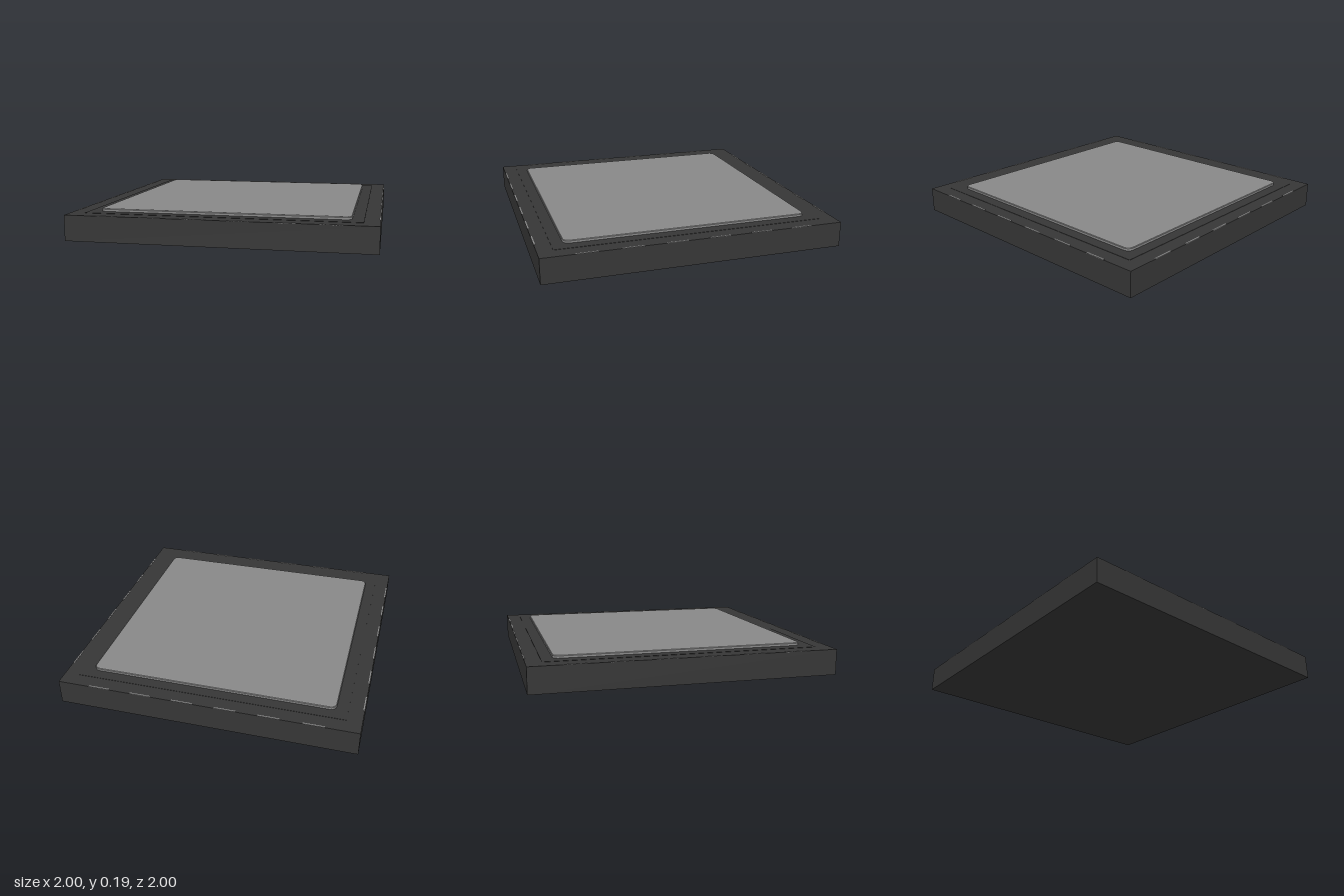
import * as THREE from 'three';

const BASE_H = 0.17;

function roundedSquare(half, r) {
  const s = new THREE.Shape();
  const c = half - r;
  s.absarc(c, c, r, 0, Math.PI / 2);
  s.absarc(-c, c, r, Math.PI / 2, Math.PI);
  s.absarc(-c, -c, r, Math.PI, Math.PI * 1.5);
  s.absarc(c, -c, r, Math.PI * 1.5, Math.PI * 2);
  s.closePath();
  return s;
}

export function createModel() {
  const model = new THREE.Group();
  const dark = new THREE.MeshStandardMaterial({ color: 0x363636 });
  const panelGrey = new THREE.MeshStandardMaterial({ color: 0x888888 });
  const markGrey = new THREE.MeshStandardMaterial({ color: 0x888888 });

  const add = (name, geometry, material, x, y, z, parent = model) => {
    const mesh = new THREE.Mesh(geometry, material);
    mesh.name = name;
    mesh.position.set(x, y, z);
    parent.add(mesh);
    return mesh;
  };

  // Square slab and the barely raised field on its top
  add('base', new THREE.BoxGeometry(2, BASE_H, 2), dark, 0, BASE_H / 2, 0);
  add('topField', new THREE.BoxGeometry(1.8, 0.004, 1.8), dark, 0, BASE_H, 0);

  // Raised panel with rounded corners and a fine bevel; its lower bevel sinks into the slab
  const panel = new THREE.ExtrudeGeometry(roundedSquare(0.813, 0.03), {
    depth: 0.016, bevelEnabled: true, bevelThickness: 0.006, bevelSize: 0.012,
    bevelSegments: 2, curveSegments: 8,
  });
  panel.rotateX(-Math.PI / 2);
  add('panel', panel, panelGrey, 0, BASE_H, 0);

  // Six thin marks along each top edge
  const mark = new THREE.BoxGeometry(0.142, 0.004, 0.01);
  for (let side = 0; side < 4; side++) {
    const row = new THREE.Group();
    row.name = 'edgeMarks';
    row.rotation.y = side * Math.PI / 2;
    for (let i = 0; i < 6; i++) {
      add('edgeMark', mark, markGrey, (i - 2.5) * 0.285, BASE_H, 0.995, row);
    }
    model.add(row);
  }
  return model;
}
